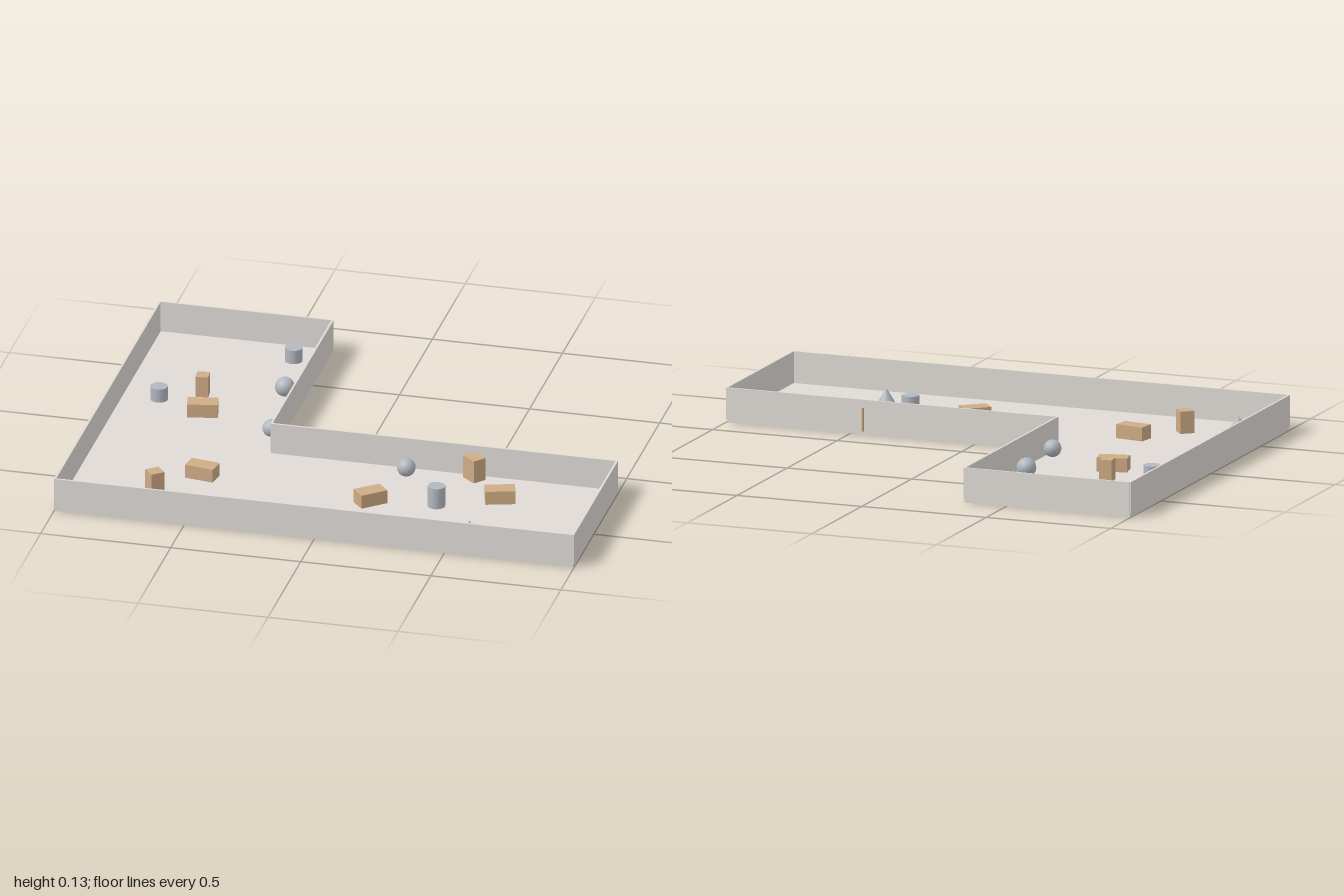
import * as THREE from 'three';

const FLOOR = 0.013, WALL_H = 0.121, WALL_T = 0.008;

const mat = (name, color) => {
  const m = new THREE.MeshStandardMaterial({ color });
  m.name = name;
  return m;
};

export function createModel() {
  const stone = mat('stone', 0xdfdad6);
  const wood = mat('wood', 0xcfab85);
  const slate = mat('slate', 0xb2b8c0);
  const room = new THREE.Group();
  room.name = 'room';

  const add = (name, geometry, material, x, y, z, turn = 0) => {
    const mesh = new THREE.Mesh(geometry, material);
    mesh.name = name;
    mesh.position.set(x, y, z);
    mesh.rotation.y = turn;
    room.add(mesh);
  };

  // L-shaped floor slab, corners as [x, z]
  const corners = [
    [-0.996, 0.797], [0.996, 0.797], [0.996, 0.132],
    [-0.332, 0.132], [-0.332, -0.797], [-0.996, -0.797],
  ];
  const outline = new THREE.Shape(corners.map(([x, z]) => new THREE.Vector2(x, -z)));
  const slab = new THREE.ExtrudeGeometry(outline, { depth: FLOOR, bevelEnabled: false });
  slab.rotateX(-Math.PI / 2);
  add('floor', slab, stone, 0, 0, 0);

  // One thin wall centred on each floor edge
  corners.forEach(([x1, z1], i) => {
    const [x2, z2] = corners[(i + 1) % corners.length];
    const length = Math.hypot(x2 - x1, z2 - z1);
    add('wall', new THREE.BoxGeometry(length, WALL_H, WALL_T), stone,
      (x1 + x2) / 2, FLOOR + WALL_H / 2, (z1 + z2) / 2, Math.atan2(z1 - z2, x2 - x1));
  });

  // Crates: x, z, width, height, depth, turn in degrees
  const crates = [
    ['lowCrate', -0.663, -0.132, 0.115, 0.053, 0.065, 11],
    ['lowCrate', -0.531, 0.398, 0.113, 0.053, 0.066, -9],
    ['lowCrate', 0.132, 0.463, 0.108, 0.053, 0.066, 41],
    ['lowCrate', 0.597, 0.33, 0.113, 0.053, 0.064, 17],
    ['tallCrate', -0.705, -0.298, 0.048, 0.082, 0.05, 5],
    ['tallCrate', 0.456, 0.165, 0.068, 0.09, 0.054, -40],
    ['tallCrate', -0.671, 0.565, 0.054, 0.085, 0.054, 40],
  ];
  for (const [name, x, z, w, h, d, deg] of crates) {
    add(name, new THREE.BoxGeometry(w, h, d), wood, x, FLOOR + h / 2, z, THREE.MathUtils.degToRad(deg));
  }

  // Drums: x, z, radius, height
  for (const [x, z, r, h] of [[-0.449, -0.668, 0.033, 0.054], [-0.853, -0.219, 0.033, 0.054], [0.377, 0.428, 0.033, 0.082]]) {
    add('drum', new THREE.CylinderGeometry(r, r, h, 20), slate, x, FLOOR + h / 2, z);
  }

  // Balls: x, z, radius
  for (const [x, z, r] of [[-0.406, -0.363, 0.037], [-0.369, -0.009, 0.033], [0.204, 0.203, 0.035]]) {
    add('ball', new THREE.SphereGeometry(r, 20, 14), slate, x, FLOOR + r, z);
  }

  // Cones: x, z, radius, height
  for (const [x, z, r, h] of [[-0.848, 0.657, 0.045, 0.056], [0.555, 0.63, 0.032, 0.052]]) {
    add('cone', new THREE.ConeGeometry(r, h, 16), slate, x, FLOOR + h / 2, z);
  }

  return room;
}
